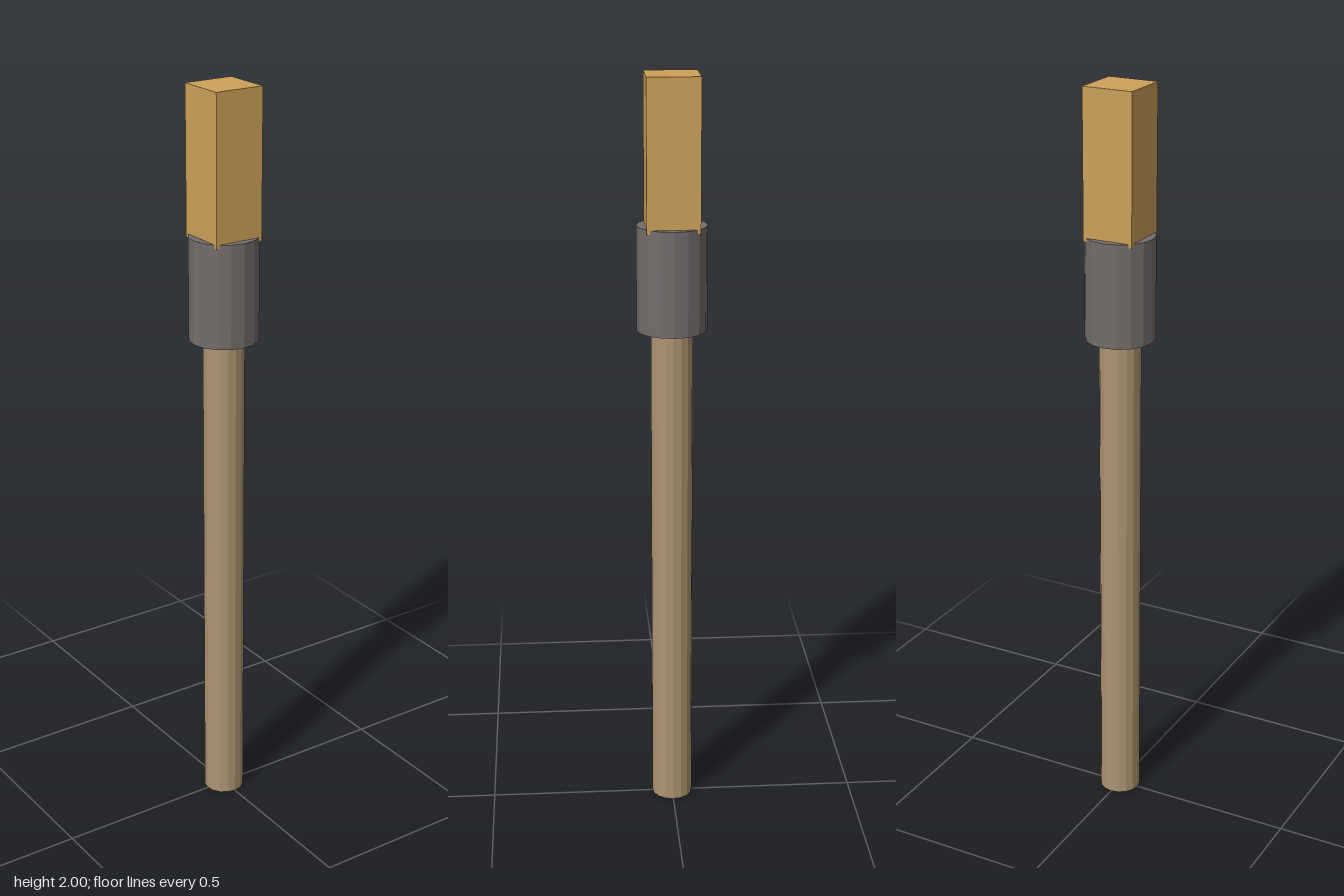
import * as THREE from 'three';

const mat = (name, color) => {
  const m = new THREE.MeshStandardMaterial({ color, flatShading: true });
  m.name = name;
  return m;
};

export function createModel() {
  const group = new THREE.Group();
  const add = (name, geometry, material, bottom, top) => {
    const mesh = new THREE.Mesh(geometry, material);
    mesh.name = name;
    mesh.position.y = (bottom + top) / 2;
    group.add(mesh);
  };
  const rod = (r, bottom, top) => new THREE.CylinderGeometry(r, r, top - bottom, 16);

  // Long round handle
  add('shaft', rod(0.055, 0, 1.35), mat('wood', 0xae9473), 0, 1.35);
  // Wider sleeve joining the shaft and the block
  add('collar', rod(0.092, 1.345, 1.62), mat('dark metal', 0x736d6b), 1.345, 1.62);
  // Square block on top
  add('block', new THREE.BoxGeometry(0.137, 0.39, 0.137), mat('golden', 0xcda159), 1.61, 2);

  return group;
}
